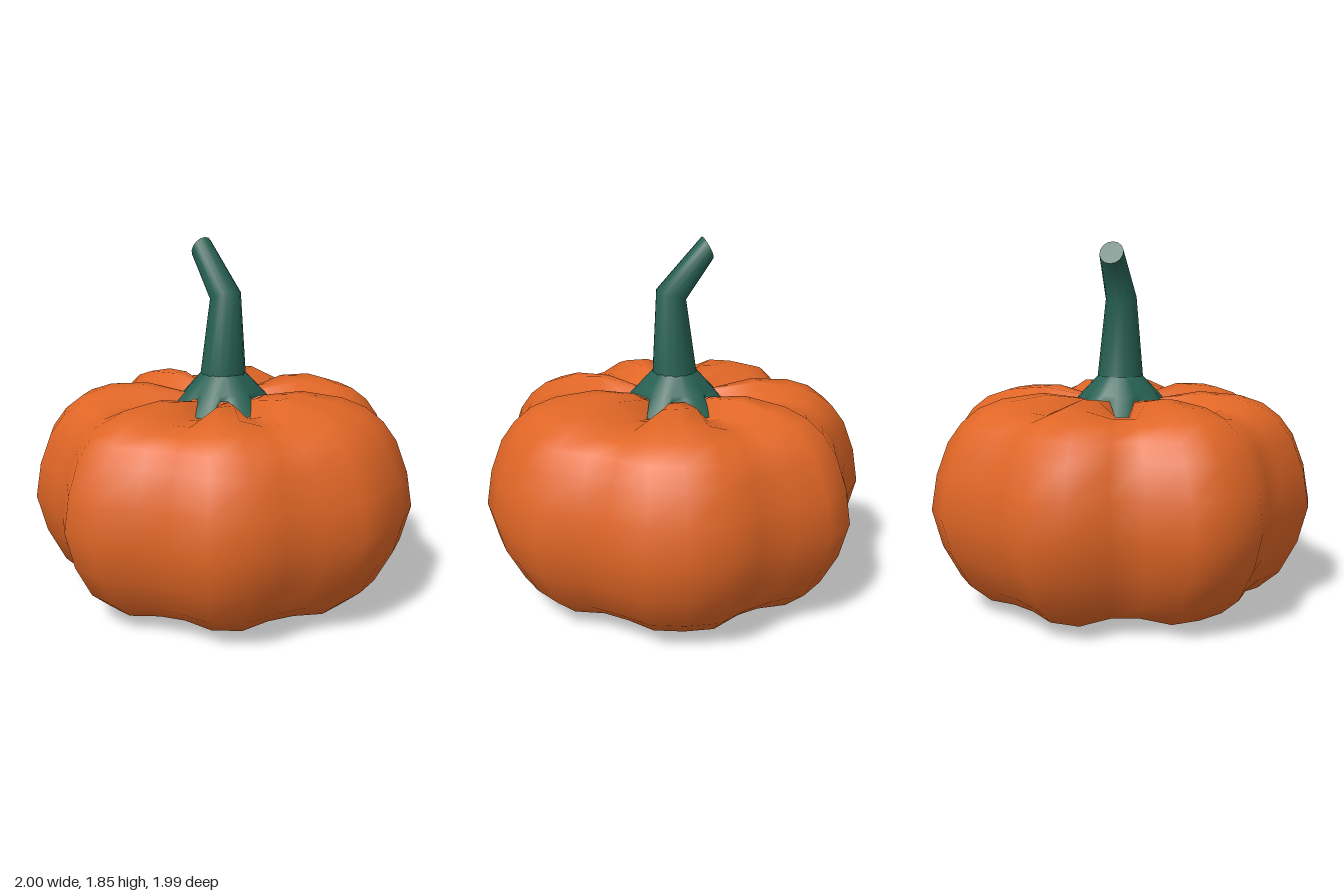
import * as THREE from 'three';

// Skin closed rings, listed from bottom to top
function loft(rows) {
  const n = rows[0].length, index = [];
  for (let i = 0; i < rows.length - 1; i++) {
    for (let j = 0; j < n; j++) {
      const a = i * n + j, b = i * n + (j + 1) % n;
      index.push(a, a + n, b, b, a + n, b + n);
    }
  }
  const geo = new THREE.BufferGeometry();
  geo.setAttribute('position', new THREE.Float32BufferAttribute(rows.flat(2), 3));
  geo.setIndex(index);
  geo.computeVertexNormals();
  return geo;
}

function part(name, geo, material) {
  const mesh = new THREE.Mesh(geo, material);
  mesh.name = name;
  return mesh;
}

export function createModel() {
  const skin = new THREE.MeshStandardMaterial({ color: 0xe06626 });
  skin.name = 'orange skin';
  const green = new THREE.MeshStandardMaterial({ color: 0x266052, side: THREE.DoubleSide });
  green.name = 'stem green';
  const group = new THREE.Group();
  group.name = 'pumpkin';

  // Ribbed body: radius at each of 32 angles, seven lobes with grooves between
  const ribs = [
    1, 0.93, 0.93, 1, 0.99, 0.91, 0.916, 0.995, 0.99, 0.907, 0.912, 0.99, 1, 0.995, 0.868, 0.865,
    1, 1, 0.93, 0.93, 1, 1, 0.92, 0.92, 1, 1, 0.995, 0.93, 0.92, 1, 1, 1,
  ];
  // Profile: radius, height, height change inside a groove
  const profile = [
    [0.001, 0.05, 0], [0.2, 0.025, 0.02], [0.4, 0.005, 0.025], [0.61, 0.025, 0.02], [0.75, 0.065, 0.01],
    [0.86, 0.16, 0], [0.95, 0.33, 0], [1, 0.52, 0], [0.97, 0.7, 0], [0.91, 0.86, 0], [0.84, 0.955, -0.01],
    [0.75, 1.025, -0.03], [0.63, 1.067, -0.05], [0.42, 1.088, -0.09], [0.22, 1.055, -0.1], [0.001, 0.94, 0],
  ];
  const bodyRows = profile.map(([r, y, dip]) => ribs.map((rib, j) => {
    const a = j / ribs.length * Math.PI * 2;
    const groove = Math.min(1, (1 - rib) / 0.08);
    return [r * rib * Math.cos(a), y + dip * groove, r * rib * Math.sin(a)];
  }));
  group.add(part('body', loft(bodyRows), skin));

  // Crown: blunt leaf tips that reach down into the grooves
  const tips = [14, 63, 108, 163, 209, 252, 307];
  const crownRing = (tipR, tipY, notchR, notchY) => tips.flatMap((deg) =>
    [-18, -7, 7, 18].map((offset) => {
      const a = THREE.MathUtils.degToRad(deg + offset);
      const tip = Math.abs(offset) < 10;
      const r = tip ? tipR : notchR;
      return [r * Math.cos(a), tip ? tipY : notchY, r * Math.sin(a)];
    }));
  group.add(part('crown', loft([
    crownRing(0.285, 0.98, 0.2, 1.05),
    crownRing(0.2, 1.075, 0.19, 1.08),
    crownRing(0.115, 1.165, 0.115, 1.165),
  ]), green));

  // Bent stem: centre x, y, tilted half axis x, y, half depth
  const stemRing = ([cx, cy, ax, ay, rz]) => Array.from({ length: 14 }, (_, j) => {
    const a = j / 14 * Math.PI * 2;
    return [cx + ax * Math.cos(a), cy + ay * Math.cos(a), rz * Math.sin(a)];
  });
  const end = [-0.172, 1.795, 0.028, 0.055, 0.062];
  const stemRows = [
    [0, 1.15, 0.117, 0, 0.12],
    [0.018, 1.565, 0.077, 0.026, 0.08],
    end,
  ].map(stemRing);
  group.add(part('stem', loft(stemRows), green));
  const centre = [end[0], end[1], 0.0005, 0.001, 0.001];
  group.add(part('stemCutEnd', loft([end, centre].map(stemRing)), green));

  return group;
}
